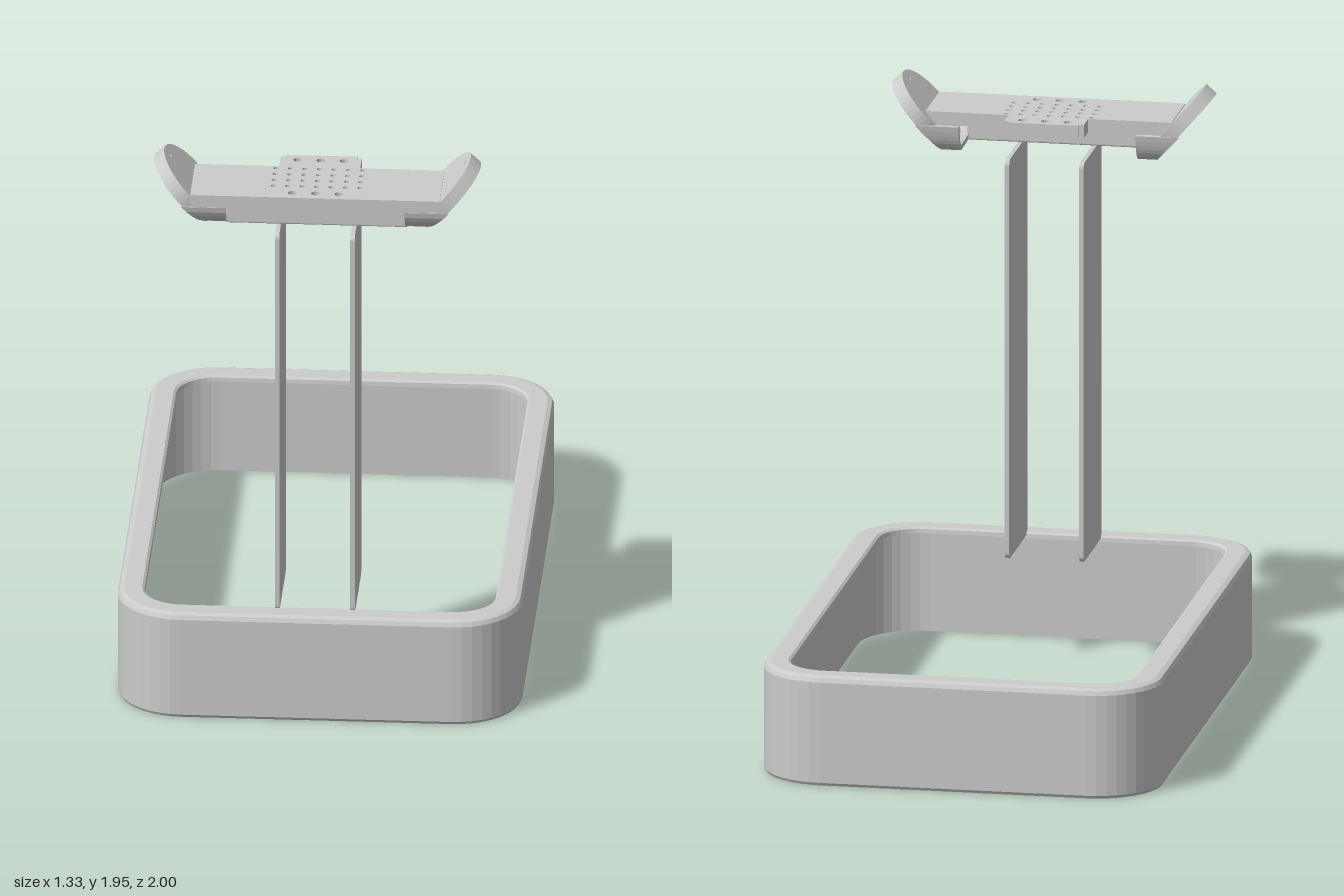
import * as THREE from 'three';
import { RoundedBoxGeometry } from 'three/addons/geometries/RoundedBoxGeometry.js';

const material = new THREE.MeshStandardMaterial({ color: 0xcccccc, flatShading: true, side: THREE.DoubleSide });

function addMesh(parent, name, geometry, x = 0, y = 0, z = 0) {
  const mesh = new THREE.Mesh(geometry, material);
  mesh.name = name;
  mesh.position.set(x, y, z);
  parent.add(mesh);
  return mesh;
}

function addHole(shape, x, y, r) {
  shape.holes.push(new THREE.Path().absarc(x, y, r, 0, Math.PI * 2, true));
}

// Sweeps a closed profile of [inset, height] around a rounded rectangle
function frameGeometry(halfX, halfZ, radius, profile, steps) {
  const positions = [], index = [];
  const count = 4 * (steps + 1), n = profile.length;
  for (let q = 0; q < 4; q++) {
    const sx = q === 0 || q === 3 ? 1 : -1, sz = q < 2 ? 1 : -1;
    for (let k = 0; k <= steps; k++) {
      const a = (q + k / steps) * Math.PI / 2;
      for (const [d, y] of profile) {
        positions.push(
          sx * (halfX - radius) + Math.cos(a) * (radius - d), y,
          sz * (halfZ - radius) + Math.sin(a) * (radius - d));
      }
    }
  }
  for (let i = 0; i < count; i++) {
    const next = (i + 1) % count;
    for (let j = 0; j < n; j++) {
      const up = (j + 1) % n;
      const a = i * n + j, b = i * n + up, c = next * n + up, d = next * n + j;
      index.push(a, b, c, a, c, d);
    }
  }
  const geometry = new THREE.BufferGeometry();
  geometry.setAttribute('position', new THREE.Float32BufferAttribute(positions, 3));
  geometry.setIndex(index);
  geometry.computeVertexNormals();
  return geometry;
}

// Thin upright panel in the yz plane with rounded corners
function panelGeometry(depth, height, thickness, r) {
  const w = depth / 2, h = height / 2;
  const s = new THREE.Shape();
  s.absarc(w - r, h - r, r, 0, Math.PI / 2);
  s.absarc(-w + r, h - r, r, Math.PI / 2, Math.PI);
  s.absarc(-w + r, -h + r, r, Math.PI, Math.PI * 1.5);
  s.absarc(w - r, -h + r, r, Math.PI * 1.5, Math.PI * 2);
  const g = new THREE.ExtrudeGeometry(s, { depth: thickness, bevelEnabled: false, curveSegments: 6 });
  return g.translate(0, 0, -thickness / 2).rotateY(Math.PI / 2);
}

// Perforated top plate with a tab at the back
function deckGeometry() {
  const s = new THREE.Shape();
  [[-0.41, -0.93], [0.41, -0.93], [0.41, -0.68], [0.133, -0.68], [0.133, -0.602], [0.117, -0.602],
    [0.117, -0.588], [-0.117, -0.588], [-0.117, -0.602], [-0.133, -0.602], [-0.133, -0.68], [-0.41, -0.68]]
    .forEach(([x, y], i) => (i ? s.lineTo(x, y) : s.moveTo(x, y)));
  for (let row = 0; row < 4; row++) {
    for (let col = -3; col <= 3; col++) addHole(s, col * 0.0475, -0.696 - row * 0.047, 0.009);
  }
  for (const z of [0.625, 0.89]) {
    for (const x of [-0.076, 0, 0.076]) addHole(s, x, -z, 0.015);
  }
  return new THREE.ExtrudeGeometry(s, { depth: 0.045, bevelEnabled: false, curveSegments: 6 })
    .rotateX(-Math.PI / 2);
}

// Tilted round end plate with three screw holes
function endDiscGeometry() {
  const s = new THREE.Shape().absarc(0, 0, 0.14, 0, Math.PI * 2);
  for (let i = 0; i < 3; i++) {
    const a = i * Math.PI * 2 / 3;
    addHole(s, Math.cos(a) * 0.11, Math.sin(a) * 0.11, 0.007);
  }
  return new THREE.ExtrudeGeometry(s, { depth: 0.045, bevelEnabled: false, curveSegments: 24 })
    .rotateX(-Math.PI / 2).rotateZ(0.84);
}

// Hollow curved cheek under the deck, its outer end cut to the slope of the disc
function cheekGeometry(side) {
  const s = new THREE.Shape();
  s.moveTo(-0.142, 0.09);
  s.bezierCurveTo(-0.135, 0.035, -0.075, 0, 0, 0);
  s.lineTo(0.09, 0);
  s.quadraticCurveTo(0.125, 0.01, 0.14, 0.09);
  s.lineTo(0.12, 0.09);
  s.quadraticCurveTo(0.11, 0.025, 0.085, 0.018);
  s.lineTo(0, 0.018);
  s.bezierCurveTo(-0.07, 0.018, -0.115, 0.05, -0.122, 0.09);
  s.closePath();
  const g = new THREE.ExtrudeGeometry(s, { depth: 1, bevelEnabled: false, curveSegments: 8 }).rotateY(Math.PI / 2);
  const p = g.attributes.position;
  for (let i = 0; i < p.count; i++) {
    const outer = side > 0 ? p.getX(i) > 0.5 : p.getX(i) < 0.5;
    p.setX(i, side * (outer ? 0.36 + p.getY(i) * 0.89 : 0.295));
  }
  g.computeVertexNormals();
  return g;
}

export function createModel() {
  const model = new THREE.Group();
  model.name = 'stand';

  // Base: thin wall with an inward top flange, open underneath
  const profile = [[0.006, 0], [0, 0.01], [0, 0.35], [0.007, 0.364], [0.022, 0.37], [0.08, 0.37],
    [0.088, 0.364], [0.09, 0.35], [0.02, 0.35], [0.02, 0]];
  addMesh(model, 'baseFrame', frameGeometry(0.665, 1, 0.22, profile, 10));

  // Two upright panels
  for (const side of [-1, 1]) {
    addMesh(model, 'uprightPanel', panelGeometry(0.325, 1.355, 0.015, 0.02), -0.008 + side * 0.124, 1.0375, 0.767);
  }

  // Head: deck, inner wall and the two raised ends
  const head = new THREE.Group();
  head.name = 'head';
  head.position.x = -0.008;
  model.add(head);
  addMesh(head, 'deck', deckGeometry(), 0, 1.803, 0);
  addMesh(head, 'innerWall', new RoundedBoxGeometry(0.6, 0.09, 0.02, 2, 0.006), 0, 1.761, 0.84);
  for (const side of [-1, 1]) {
    const disc = addMesh(head, 'endDisc', endDiscGeometry(), side * 0.444, 1.815, 0.79);
    if (side < 0) disc.rotation.y = Math.PI;
    addMesh(head, 'cheek', cheekGeometry(side), 0, 1.715, 0.79);
  }
  return model;
}
